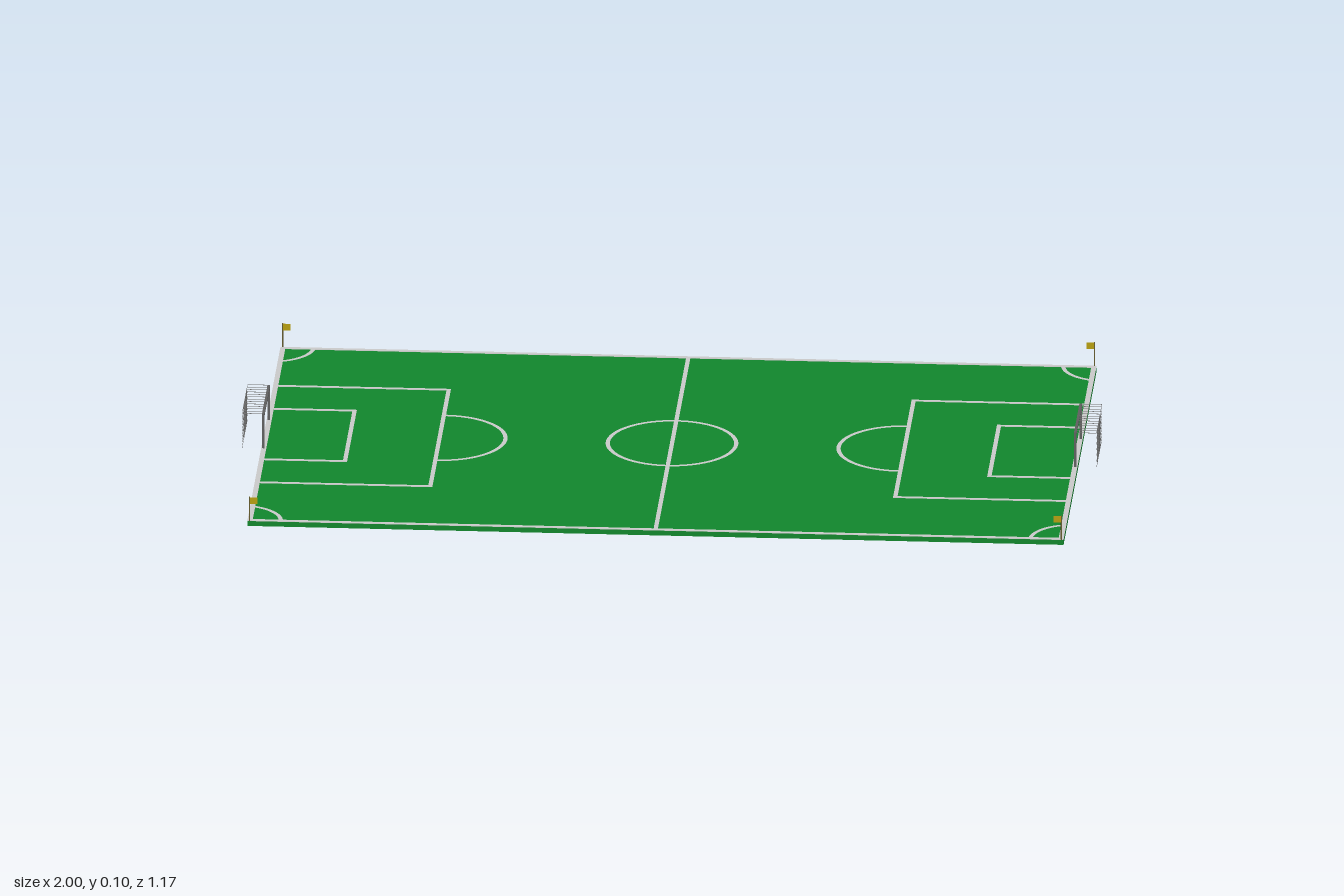
import * as THREE from 'three';

const mat = (color) => new THREE.MeshStandardMaterial({ color, side: THREE.DoubleSide });
const TOP = 0.012; // height of the turf
const HX = 0.955, HZ = 0.582, LINE = 0.01;

export function createModel() {
  const model = new THREE.Group();
  const grass = mat(0x11882d), white = mat(0xcccccc), metal = mat(0x606060);
  const net = mat(0x707070), yellow = mat(0xb8a010), poleMat = mat(0x6a6030);

  const box = (parent, name, m, w, h, d, x, y, z) => {
    const mesh = new THREE.Mesh(new THREE.BoxGeometry(w, h, d), m);
    mesh.name = name;
    mesh.position.set(x, y, z);
    parent.add(mesh);
    return mesh;
  };

  box(model, 'pitch', grass, HX * 2, TOP, HZ * 2, 0, TOP / 2, 0);

  // Painted markings: straight lines between two points, and flat arcs
  const markings = new THREE.Group();
  markings.name = 'markings';
  model.add(markings);
  const line = (name, x0, z0, x1, z1, w = LINE) =>
    box(markings, name, white, Math.abs(x1 - x0) + w, 0.001, Math.abs(z1 - z0) + w,
      (x0 + x1) / 2, TOP + 0.0006, (z0 + z1) / 2);
  const arc = (name, x, z, r, start, length) => {
    const geo = new THREE.RingGeometry(r - LINE / 2, r + LINE / 2, 64, 1, start, length);
    geo.rotateX(-Math.PI / 2);
    const mesh = new THREE.Mesh(geo, white);
    mesh.name = name;
    mesh.position.set(x, TOP + 0.0011, z);
    markings.add(mesh);
  };

  line('halfwayLine', 0, -HZ + 0.01, 0, HZ - 0.01);
  arc('centreCircle', 0, 0, 0.15, 0, Math.PI * 2);
  for (const s of [-1, 1]) {
    line('touchLine', -HX + 0.006, s * (HZ - 0.006), HX - 0.006, s * (HZ - 0.006), 0.012);
    line('goalLine', s * (HX - 0.006), -HZ + 0.006, s * (HX - 0.006), HZ - 0.006, 0.012);
    // Penalty area, then goal area
    for (const [name, x, z] of [['penaltyArea', 0.544, 0.323], ['goalArea', 0.754, 0.169]]) {
      line(name + 'Front', s * x, -z, s * x, z);
      line(name + 'Side', s * x, -z, s * 0.945, -z);
      line(name + 'Side', s * x, z, s * 0.945, z);
    }
    arc('penaltyArc', s * 0.54, 0, 0.15, s > 0 ? Math.PI / 2 : -Math.PI / 2, Math.PI);
    // Corner arcs, trimmed at the goal line
    const sweep = 1.245;
    arc('cornerArc', s * 0.977, -HZ, 0.1, s > 0 ? Math.PI : -sweep, sweep);
    arc('cornerArc', s * 0.977, HZ, 0.1, s > 0 ? Math.PI - sweep : 0, sweep);
  }

  // Goal: square frame with flat net ribbons behind and on top
  const makeGoal = () => {
    const goal = new THREE.Group();
    goal.name = 'goal';
    const w = 0.097, h = 0.099, front = 0.95, back = 0.9997, cols = 12, rows = 6;
    for (const s of [-1, 1]) {
      box(goal, 'post', metal, 0.006, h - TOP, 0.005, front, (h + TOP) / 2, s * (w - 0.0025));
    }
    box(goal, 'crossbar', metal, 0.006, 0.005, w * 2, front, h - 0.0025, 0);
    for (let i = 0; i <= cols; i++) {
      const z = (i / cols * 2 - 1) * (w - 0.001);
      box(goal, 'backNetUpright', net, 0.0006, h - TOP, 0.002, back, (h + TOP) / 2, z);
      box(goal, 'roofNetStrand', net, back - front, 0.0006, 0.002, (front + back) / 2, h - 0.0004, z);
    }
    for (let j = 0; j <= rows; j++) {
      const y = TOP + 0.001 + j / rows * (h - TOP - 0.002);
      box(goal, 'backNetRow', net, 0.0006, 0.002, w * 2, back, y, 0);
    }
    return goal;
  };
  const leftGoal = makeGoal();
  const rightGoal = makeGoal();
  rightGoal.rotation.y = Math.PI;
  model.add(leftGoal, rightGoal);

  // Corner flags, pointing in along the touch line
  for (const sx of [-1, 1]) {
    for (const sz of [-1, 1]) {
      const flag = new THREE.Group();
      flag.name = 'cornerFlag';
      const pole = new THREE.Mesh(new THREE.CylinderGeometry(0.0016, 0.0016, 0.06, 8), poleMat);
      pole.name = 'pole';
      pole.position.y = 0.03;
      flag.add(pole);
      box(flag, 'pennant', yellow, 0.019, 0.016, 0.001, -sx * 0.0095, 0.051, 0);
      flag.position.set(sx * 0.95, TOP, sz * (HZ - 0.001));
      model.add(flag);
    }
  }
  return model;
}
